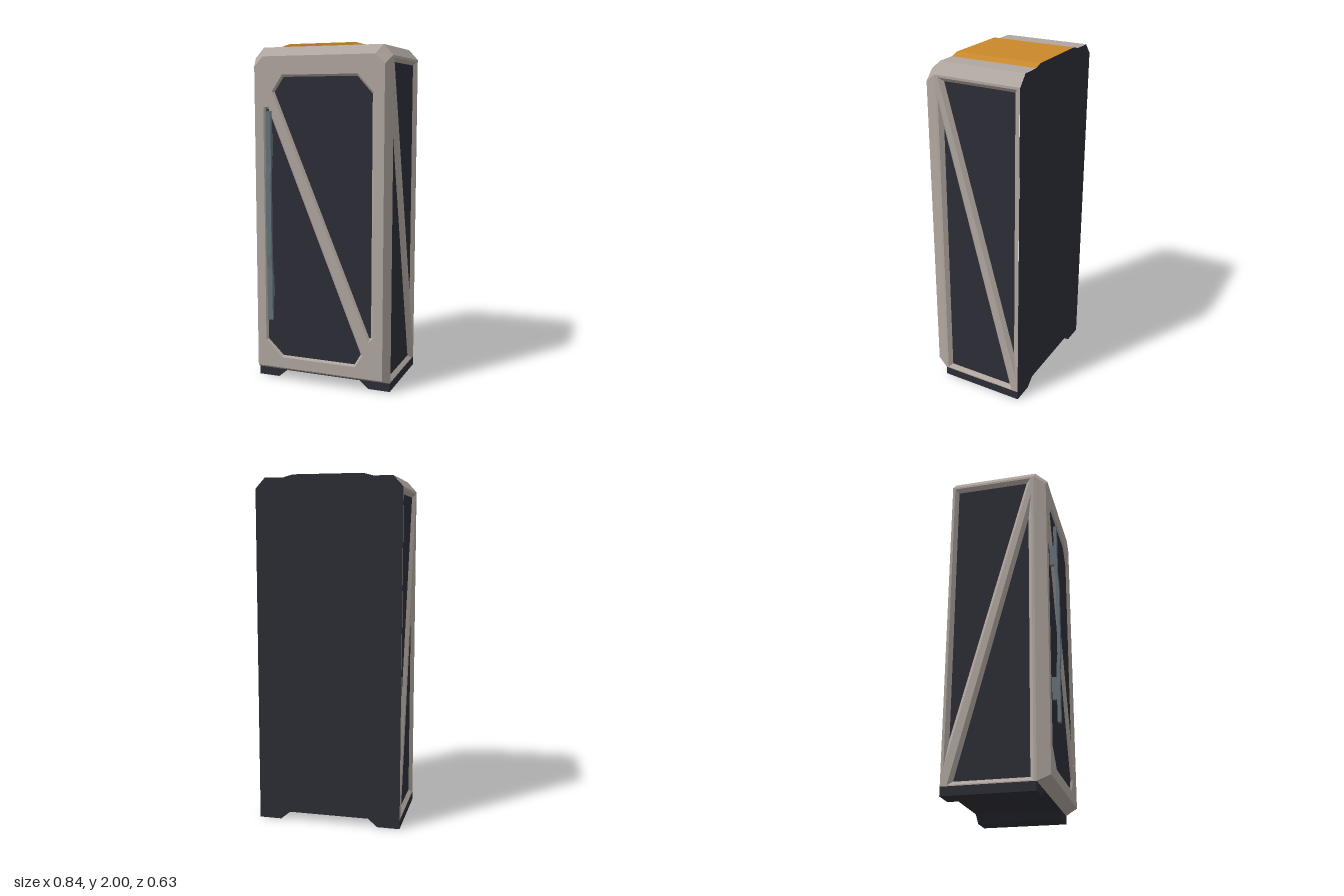
import * as THREE from 'three';

const mat = (name, color) => {
  const m = new THREE.MeshStandardMaterial({ color });
  m.name = name;
  return m;
};
const V = (p) => new THREE.Vector2(p[0], p[1]);
const ccw = (pts) => (THREE.ShapeUtils.isClockWise(pts.map(V)) ? [...pts].reverse() : pts);

// Moves every edge of a counter-clockwise polygon inwards by d
function inset(pts, d) {
  const n = pts.length;
  return pts.map((p, i) => {
    const a = V(p).sub(V(pts[(i + n - 1) % n])).normalize();
    const b = V(pts[(i + 1) % n]).sub(V(p)).normalize();
    const k = d / (1 + a.dot(b));
    return [p[0] - (a.y + b.y) * k, p[1] + (a.x + b.x) * k];
  });
}

// Flat-shaded band between two loops of 2D points at depths za and zb;
// keep(i) chooses which segments are built
function band(a, za, b, zb, keep = () => true) {
  const pos = [];
  a.forEach((p, i) => {
    if (!keep(i)) return;
    const j = (i + 1) % a.length;
    const A = [...p, za], B = [...a[j], za], C = [...b[j], zb], D = [...b[i], zb];
    pos.push(...A, ...B, ...C, ...A, ...C, ...D);
  });
  const g = new THREE.BufferGeometry();
  g.setAttribute('position', new THREE.Float32BufferAttribute(pos, 3));
  g.computeVertexNormals();
  return g;
}

function extrude(pts, depth) {
  return new THREE.ExtrudeGeometry(new THREE.Shape(ccw(pts).map(V)), { depth, bevelEnabled: false });
}

export function createModel() {
  const shell = mat('warm grey shell', 0xb0a69f);
  const dark = mat('dark panel', 0x2d2e36);
  const orange = mat('orange', 0xca872b);
  const steel = mat('blue grey steel', 0x64717a);
  const model = new THREE.Group();
  model.name = 'locker';

  const add = (parent, name, geometry, material) => {
    const m = new THREE.Mesh(geometry, material);
    m.name = name;
    parent.add(m);
    return m;
  };

  // A face with bevelled holes and a dark panel at the bottom of each
  function recessedFace(name, outline, holes, bevel, depth) {
    const group = new THREE.Group();
    group.name = name;
    const face = new THREE.Shape(ccw(outline).map(V));
    holes.forEach((h) => {
      const outer = ccw(h), inner = inset(outer, bevel);
      face.holes.push(new THREE.Path(outer.map(V)));
      add(group, name + 'Bevel', band(outer, 0, inner, -depth), shell);
      const panel = add(group, name + 'Panel', new THREE.ShapeGeometry(new THREE.Shape(inner.map(V))), dark);
      panel.position.z = -depth;
    });
    add(group, name + 'Frame', new THREE.ShapeGeometry(face), shell);
    model.add(group);
    return group;
  }

  const back = -0.313, mid = 0.195, front = 0.265, length = mid - back;

  // Cabinet outline, and the smaller outline of the door face
  const body = [[-0.42, 0.05], [0.42, 0.05], [0.42, 1.925], [0.365, 1.985], [-0.365, 1.985], [-0.42, 1.925]];
  const door = [[-0.395, 0.085], [0.395, 0.085], [0.395, 1.875], [0.34, 1.93], [-0.34, 1.93], [-0.395, 1.875]];

  // Roof with its chamfers, and the sloping border around the door
  add(model, 'roof', band(body, back, body, mid, (i) => i >= 2 && i <= 4), shell);
  add(model, 'doorBorder', band(body, mid, door, front), shell);

  // Door with two openings split by a diagonal brace
  recessedFace('door', door, [
    [[-0.22, 1.825], [0.24, 1.825], [0.335, 1.72], [0.335, 0.33], [0.31, 0.305], [-0.285, 1.73]],
    [[-0.34, 1.64], [-0.305, 1.645], [0.275, 0.225], [0.23, 0.15], [-0.235, 0.15], [-0.34, 0.25]],
  ], 0.012, 0.012).position.z = front;

  // Side walls, mirrored, each with two long triangular openings
  for (const s of [1, -1]) {
    const flip = (pts) => pts.map(([z, y]) => [-s * z, y]);
    const side = recessedFace(s > 0 ? 'leftSide' : 'rightSide',
      flip([[mid, 0.05], [back, 0.05], [back, 1.925], [mid, 1.925]]),
      [
        flip([[0.176, 1.912], [-0.298, 1.912], [-0.298, 0.15]]),
        flip([[0.18, 1.8], [0.18, 0.056], [-0.276, 0.056]]),
      ], 0.021, 0.02);
    side.rotation.y = s * Math.PI / 2;
    side.position.x = s * 0.42;
  }

  // Base plate with two feet
  const base = [[-0.42, 0.052], [-0.42, 0], [-0.29, 0], [-0.235, 0.046],
    [0.235, 0.046], [0.29, 0], [0.42, 0], [0.42, 0.052]];
  add(model, 'base', extrude(base, length), dark).position.z = back;

  // Raised orange plate on the roof
  const cap = [[-0.255, 1.984], [0.255, 1.984], [0.2, 2], [-0.2, 2]];
  add(model, 'roofPlate', extrude(cap, length), orange).position.z = back;

  // Flat back wall, covering feet and roof plate too
  const rear = [...base.slice(1, 7), [0.42, 1.925], [0.365, 1.985], [0.255, 1.985], [0.2, 2],
    [-0.2, 2], [-0.255, 1.985], [-0.365, 1.985], [-0.42, 1.925]];
  const wall = add(model, 'backWall', new THREE.ShapeGeometry(new THREE.Shape(ccw(rear).map(V))), dark);
  wall.rotation.y = Math.PI;
  wall.position.z = back - 0.001;

  // Long door handle, slightly bowed outwards, on two posts
  const handle = new THREE.Group();
  handle.name = 'handle';
  const bar = [[0.288, 0.39], [0.306, 0.39], [0.306, 0.7], [0.313, 0.78], [0.313, 1.23], [0.306, 1.31],
    [0.306, 1.62], [0.288, 1.62], [0.288, 1.31], [0.295, 1.23], [0.295, 0.78], [0.288, 0.7]];
  const grip = add(handle, 'handleBar', extrude(bar, 0.032), steel);
  grip.rotation.y = -Math.PI / 2;
  grip.position.x = -0.275;
  for (const y of [0.585, 1.425]) {
    add(handle, 'handlePost', new THREE.BoxGeometry(0.018, 0.13, 0.03), steel).position.set(-0.291, y, 0.276);
  }
  model.add(handle);

  return model;
}
